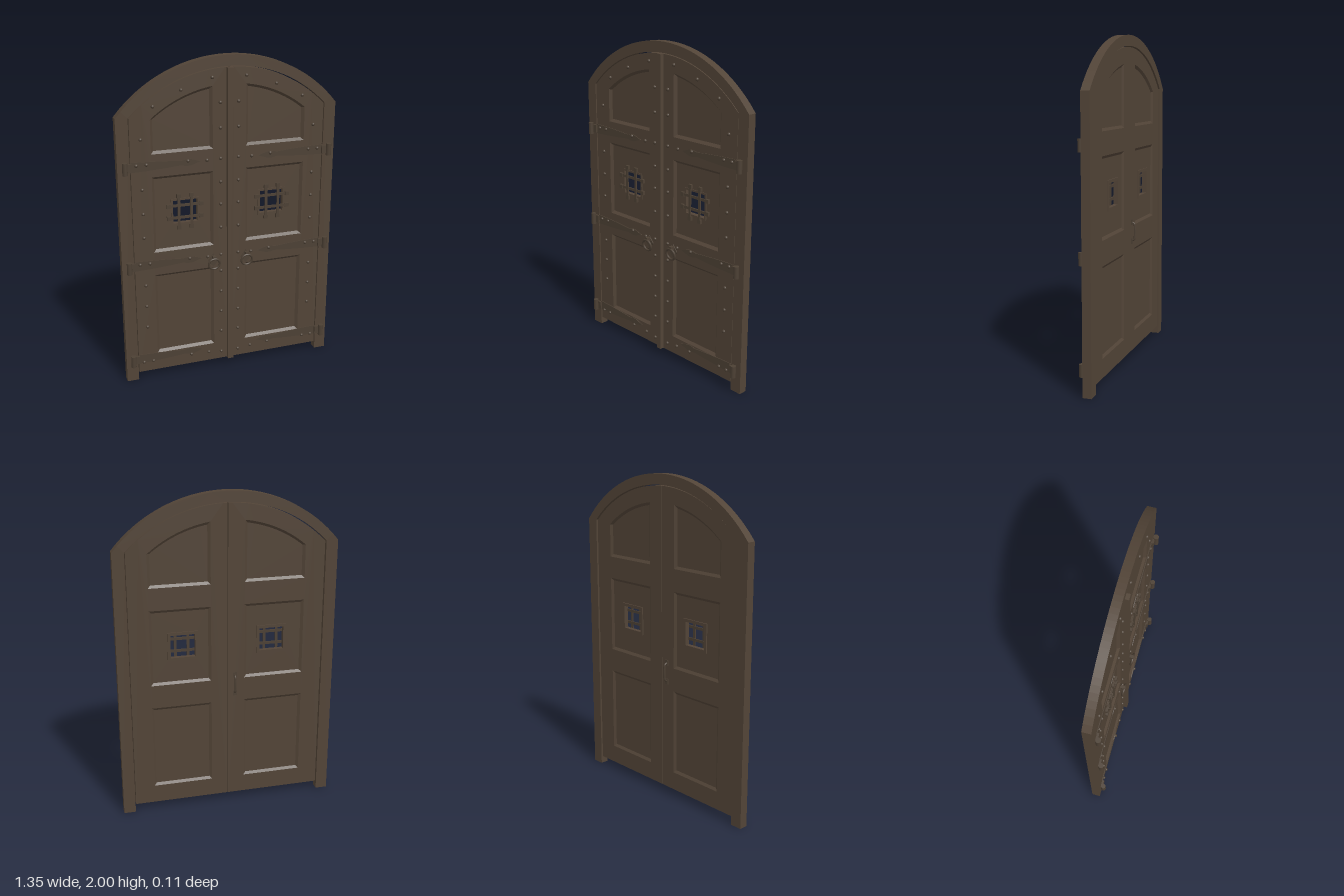
import * as THREE from 'three';

const wood = new THREE.MeshStandardMaterial({ color: 0x524437 });
wood.name = 'dark brown wood';
const iron = new THREE.MeshStandardMaterial({ color: 0x4c4034 });
iron.name = 'brown iron';

// Depths of the surfaces
const FRONT = 0.013, BACK = -0.029, PANEL_FRONT = -0.002, PANEL_BACK = -0.018;

const arcY = (cy, r) => x => cy + Math.sqrt(r * r - x * x);

function add(parent, name, geometry, material, x = 0, y = 0, z = 0) {
  const mesh = new THREE.Mesh(geometry, material);
  mesh.name = name;
  mesh.position.set(x, y, z);
  parent.add(mesh);
  return mesh;
}

const box = (w, h, d) => new THREE.BoxGeometry(w, h, d);

// Flat plate cut from an outline with holes, between two depths
function plate(points, z0, z1, holes = [], bevel = 0) {
  const shape = new THREE.Shape(points);
  shape.holes = holes.map(h => new THREE.Path(h));
  const geometry = new THREE.ExtrudeGeometry(shape, {
    depth: z1 - z0 - 2 * bevel, bevelEnabled: bevel > 0, bevelSize: bevel,
    bevelThickness: bevel, bevelOffset: -bevel, bevelSegments: 1,
  });
  return geometry.translate(0, 0, z0 + bevel);
}

// Counter-clockwise outline with a top given by a function of x
function outline(x0, x1, y0, top, steps, inset = 0) {
  const pts = [new THREE.Vector2(x0 + inset, y0 + inset), new THREE.Vector2(x1 - inset, y0 + inset)];
  for (let i = 0; i <= steps; i++) {
    const x = THREE.MathUtils.lerp(x1 - inset, x0 + inset, i / steps);
    pts.push(new THREE.Vector2(x, top(x) - inset));
  }
  return pts;
}

const rect = (x0, x1, y0, y1, inset = 0) => outline(x0, x1, y0, () => y1, 1, inset);

// Sloped moulding between two matching outlines
function moulding(outer, inner, zOuter, zInner) {
  const pos = [];
  const put = (p, z) => pos.push(p.x, p.y, z);
  const facesFront = zOuter > zInner;
  outer.forEach((a0, i) => {
    const j = (i + 1) % outer.length;
    const a = [a0, zOuter], b = [outer[j], zOuter], c = [inner[j], zInner], d = [inner[i], zInner];
    const order = facesFront ? [a, b, c, a, c, d] : [a, c, b, a, d, c];
    order.forEach(([p, z]) => put(p, z));
  });
  const geometry = new THREE.BufferGeometry();
  geometry.setAttribute('position', new THREE.Float32BufferAttribute(pos, 3));
  geometry.computeVertexNormals();
  return geometry;
}

function makeWindowGrille(leaf) {
  const hole = rect(0.2, 0.35, 1.015, 1.157);
  add(leaf, 'windowCasingFront', plate(rect(0.188, 0.362, 1.003, 1.169), PANEL_FRONT, 0.003, [hole]), wood);
  add(leaf, 'windowCasingBack', plate(rect(0.182, 0.368, 0.997, 1.175), -0.026, PANEL_BACK, [hole]), wood);
  for (const x of [0.238, 0.316]) {
    add(leaf, 'grilleUprightBar', box(0.016, 0.2, 0.008), iron, x, 1.087, 0.009);
    for (const y of [0.988, 1.186]) add(leaf, 'grilleBarEnd', box(0.024, 0.024, 0.015), iron, x, y, 0.0055);
  }
  for (const y of [1.05, 1.126]) {
    add(leaf, 'grilleCrossBar', box(0.205, 0.016, 0.008), iron, 0.277, y, 0.004);
    for (const x of [0.177, 0.377]) add(leaf, 'grilleBarEnd', box(0.024, 0.024, 0.015), iron, x, y, 0.0055);
  }
}

function makeHinge(leaf, y) {
  // Strap narrowing to a spear tip
  const half = [[0.6, 0.03], [0.5, 0.027], [0.38, 0.02], [0.3, 0.013], [0.27, 0.02], [0.24, 0.02]];
  const pts = [
    ...half.map(([x, h]) => new THREE.Vector2(x, y + h)),
    new THREE.Vector2(0.18, y),
    ...half.slice().reverse().map(([x, h]) => new THREE.Vector2(x, y - h)),
  ];
  add(leaf, 'hingeStrap', plate(pts, FRONT, 0.018), iron);
  add(leaf, 'hingeKnuckle', box(0.045, 0.05, 0.014), iron, 0.615, y, 0.022);
  add(leaf, 'hingeBarrel', new THREE.CylinderGeometry(0.016, 0.016, 0.074, 12), iron, 0.634, y, 0.034);
}

function makeRivets(leaf) {
  const dome = new THREE.SphereGeometry(0.011, 10, 4, 0, Math.PI * 2, 0, Math.PI / 2);
  dome.rotateX(Math.PI / 2);
  const rivet = (x, y, z = FRONT) => add(leaf, 'rivet', dome, iron, x, y, z);
  for (const y of [1.73, 1.58, 1.395, 1.25, 1.11, 0.96, 0.78, 0.67, 0.53, 0.39, 0.25, 0.1]) rivet(0.056, y);
  for (const y of [1.55, 1.25, 1.1, 0.95, 0.64, 0.5, 0.36]) rivet(0.534, y);
  for (const [x, y] of [[0.104, 1.877], [0.29, 1.818], [0.457, 1.735]]) rivet(x, y);
  for (const y of [1.4, 0.783, 0.118]) {
    for (const x of [0.565, 0.505, 0.257]) rivet(x, y, 0.017);
    rivet(0.14, y - 0.008);
  }
}

function makePullRing(leaf) {
  const diamond = [[0, -0.04], [0.035, 0], [0, 0.045], [-0.035, 0]]
    .map(([x, y]) => new THREE.Vector2(0.106 + x, 0.745 + y));
  add(leaf, 'ringPlate', plate(diamond, FRONT, 0.018), iron);
  add(leaf, 'ringMount', box(0.02, 0.024, 0.028), iron, 0.106, 0.768, 0.03);
  const ring = add(leaf, 'pullRing', new THREE.TorusGeometry(0.035, 0.007, 8, 24), iron, 0.106, 0.73, 0.036);
  ring.rotation.x = 0.15;
}

function makeLeaf(name) {
  const leaf = new THREE.Group();
  leaf.name = name;
  const archTop = arcY(1.1, 0.735);
  const panels = [
    ['lowerPanel', i => rect(0.103, 0.475, 0.165, 0.7, i), []],
    ['middlePanel', i => rect(0.103, 0.475, 0.847, 1.32, i), [rect(0.2, 0.35, 1.015, 1.157)]],
    ['upperPanel', i => outline(0.103, 0.475, 1.457, archTop, 16, i), []],
  ];
  const board = outline(0.002, 0.597, 0.05, arcY(1.102, 0.828), 24);
  add(leaf, 'leafBoard', plate(board, BACK, FRONT, panels.map(p => p[1](0))), wood);
  for (const [panelName, make, holes] of panels) {
    add(leaf, panelName, plate(make(0.016), PANEL_BACK, PANEL_FRONT, holes), wood);
    add(leaf, 'frontMoulding', moulding(make(0), make(0.016), FRONT, PANEL_FRONT), wood);
    add(leaf, 'backMoulding', moulding(make(0), make(0.016), BACK, PANEL_BACK), wood);
  }
  makeWindowGrille(leaf);
  for (const y of [1.39, 0.773, 0.142]) makeHinge(leaf, y);
  makeRivets(leaf);
  makePullRing(leaf);
  return leaf;
}

function makeFrame() {
  // Two jambs joined by an arch, as one outline
  const V = (x, y) => new THREE.Vector2(x, y);
  const pts = [V(0.602, 0), V(0.675, 0)];
  const outer = arcY(1.128, 0.872), inner = arcY(1.102, 0.834), n = 40;
  for (let i = 0; i <= n; i++) {
    const x = 0.675 * (1 - 2 * i / n);
    pts.push(V(x, outer(x)));
  }
  pts.push(V(-0.675, 0), V(-0.602, 0));
  for (let i = 0; i <= n; i++) {
    const x = 0.602 * (2 * i / n - 1);
    pts.push(V(x, inner(x)));
  }
  return plate(pts, -0.037, 0.016);
}

export function createModel() {
  const model = new THREE.Group();
  model.name = 'archedDoubleDoor';
  add(model, 'frame', makeFrame(), wood);

  const left = makeLeaf('leftLeaf');
  const right = makeLeaf('rightLeaf');
  right.scale.x = -1;
  model.add(left, right);

  // Strip covering the meeting edges
  add(model, 'centreStrip', box(0.036, 1.88, 0.026), wood, 0, 0.99, 0.025);

  // Bow handle on the back of the right leaf
  const path = new THREE.CatmullRomCurve3(
    [[0.755, -0.028], [0.763, -0.045], [0.785, -0.048], [0.812, -0.049], [0.84, -0.048], [0.862, -0.045], [0.87, -0.028]]
      .map(([y, z]) => new THREE.Vector3(-0.044, y, z)));
  add(model, 'backHandle', new THREE.TubeGeometry(path, 24, 0.006, 8), iron);
  for (const y of [0.752, 0.872]) add(model, 'backHandlePlate', box(0.024, 0.034, 0.006), iron, -0.044, y, -0.031);
  return model;
}
